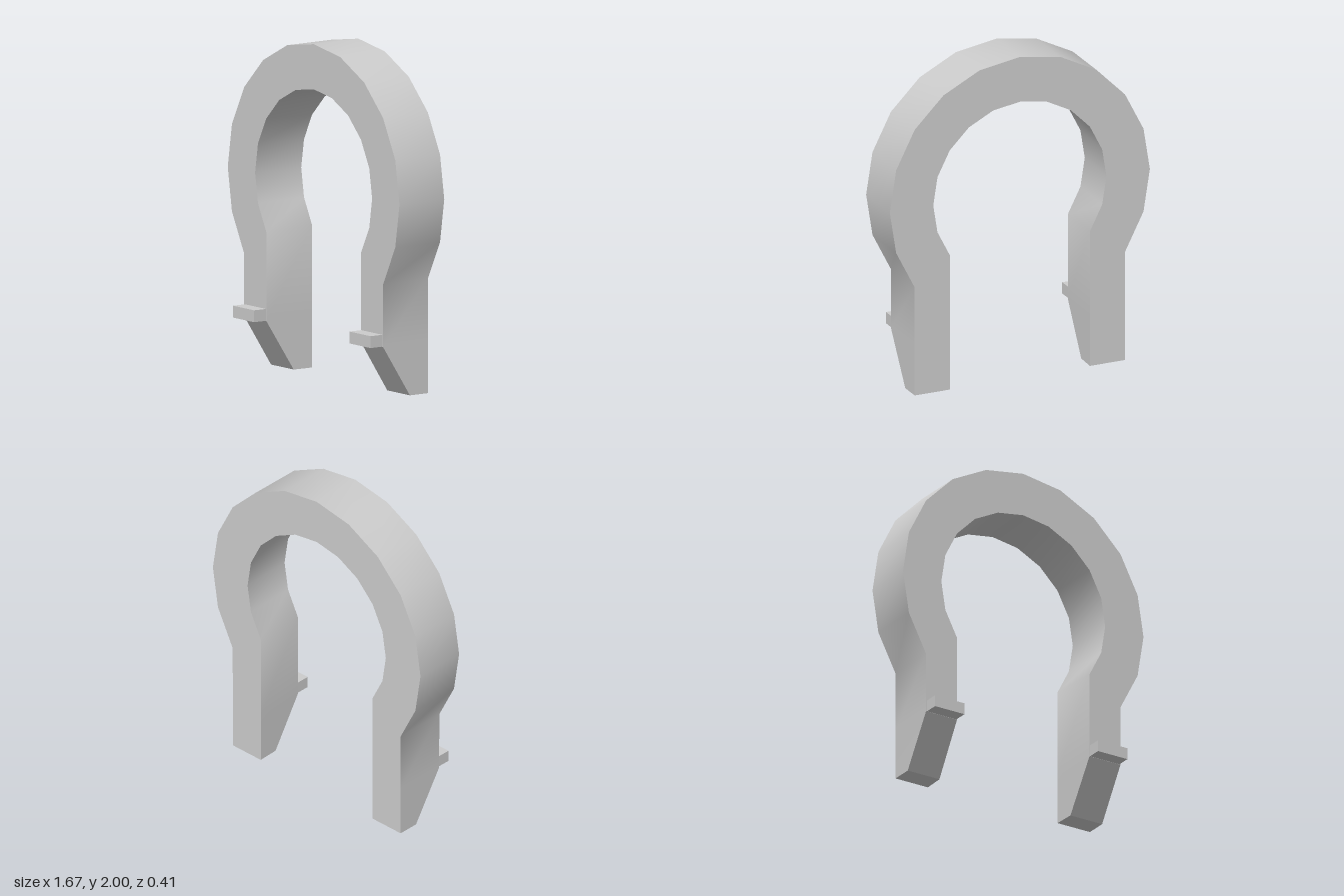
import * as THREE from 'three';
import { toCreasedNormals } from 'three/addons/utils/BufferGeometryUtils.js';

const FRONT = 0.12, BACK = -0.205, CENTRE_Y = 1.165;
const R_OUTER = 0.835, R_INNER_FRONT = 0.569, R_INNER_BACK = 0.556;

// Four corners of one cross-section: outer front, outer back, inner back, inner front
function arcSection(angle) {
  const at = (r, z) => [r * Math.sin(angle), CENTRE_Y + r * Math.cos(angle), z];
  return [at(R_OUTER, FRONT), at(R_OUTER, BACK), at(R_INNER_BACK, BACK), at(R_INNER_FRONT, FRONT)];
}

function legSection(side, y, front, innerFront) {
  return [[0.675, y, front], [0.675, y, BACK], [0.45, y, BACK], [innerFront, y, front]]
    .map(([x, py, z]) => [side * x, py, z]);
}

// Skin a row of four-cornered sections and close both ends
function loft(sections) {
  const index = [];
  for (let i = 0; i < sections.length - 1; i++) {
    for (let j = 0; j < 4; j++) {
      const k = (j + 1) % 4;
      const a = i * 4 + j, b = i * 4 + k, c = b + 4, d = a + 4;
      index.push(a, d, b, d, c, b);
    }
  }
  const e = (sections.length - 1) * 4;
  index.push(0, 1, 2, 0, 2, 3, e + 3, e + 2, e + 1, e + 3, e + 1, e);
  const geometry = new THREE.BufferGeometry();
  geometry.setAttribute('position', new THREE.Float32BufferAttribute(sections.flat(2), 3));
  geometry.setIndex(index);
  return toCreasedNormals(geometry, 0.52);
}

export function createModel() {
  const group = new THREE.Group();
  const material = new THREE.MeshStandardMaterial({ color: 0xcccccc });

  // Horseshoe body: slanted foot, straight leg, faceted arch, and back down
  const sections = [legSection(-1, 0, -0.075, 0.455), legSection(-1, 0.305, FRONT, 0.46)];
  for (let i = -7; i <= 7; i++) sections.push(arcSection(i * Math.PI / 10));
  sections.push(legSection(1, 0.305, FRONT, 0.46), legSection(1, 0, -0.075, 0.455));
  const shackle = new THREE.Mesh(loft(sections), material);
  shackle.name = 'shackle';
  group.add(shackle);

  // Small catch on the front of each leg, sunk slightly into it
  for (const side of [-1, 1]) {
    const tab = new THREE.Mesh(new THREE.BoxGeometry(0.204, 0.07, 0.095), material);
    tab.position.set(side * 0.566, 0.341, 0.1575);
    tab.name = side > 0 ? 'leftCatch' : 'rightCatch';
    group.add(tab);
  }
  return group;
}
